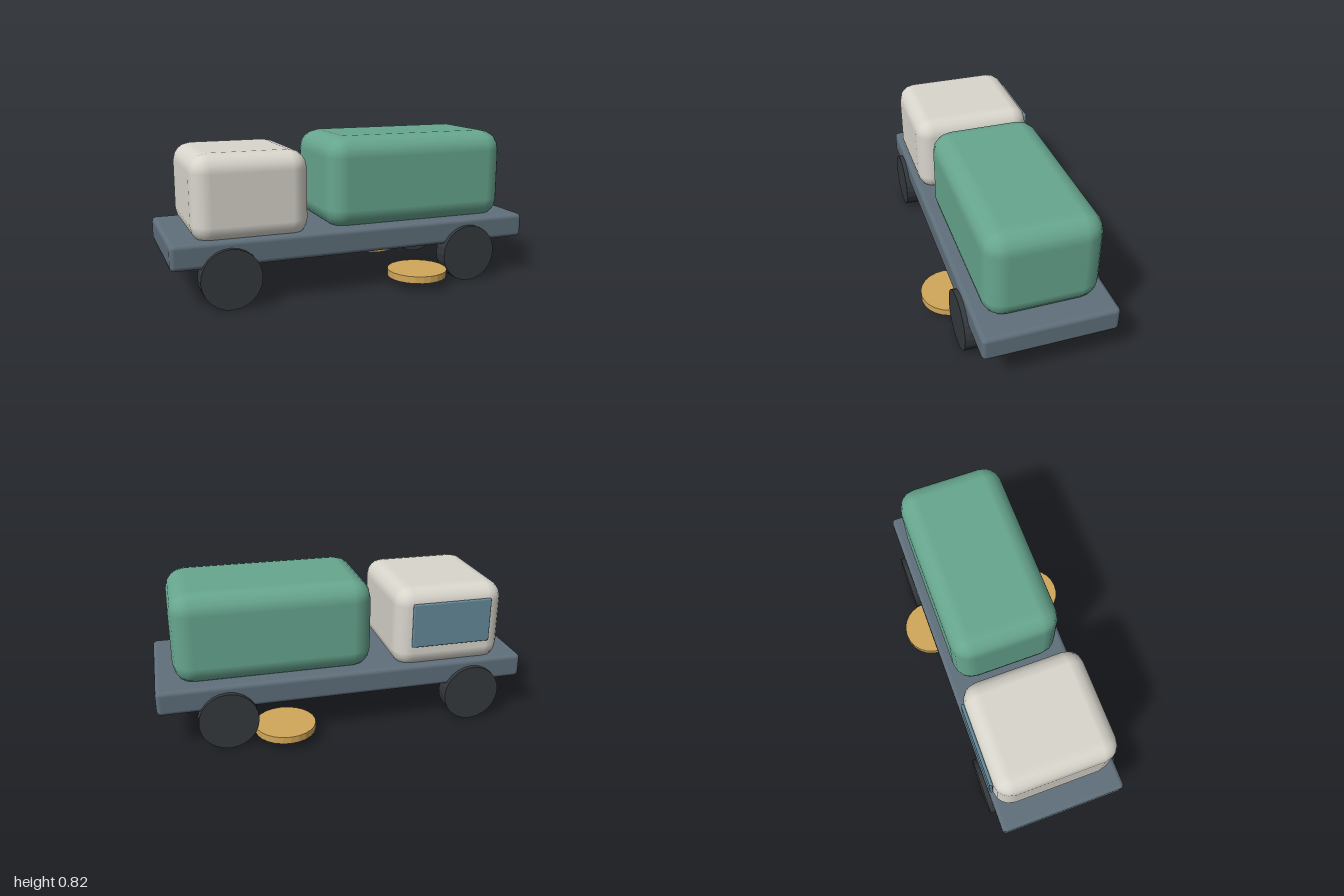
import * as THREE from 'three';
import { RoundedBoxGeometry } from 'three/addons/geometries/RoundedBoxGeometry.js';

const paint = (color, flatShading = false) => new THREE.MeshStandardMaterial({ color, flatShading });

export function createModel() {
  const model = new THREE.Group();
  const steel = paint(0x5f6f7a);
  const cream = paint(0xd9d6cd);
  const green = paint(0x67a68f);
  const glass = paint(0x64899a);
  const rubber = paint(0x34393d, true);
  const gold = paint(0xd1a75a, true);

  const add = (name, geometry, material, x, y, z) => {
    const mesh = new THREE.Mesh(geometry, material);
    mesh.name = name;
    mesh.position.set(x, y, z);
    model.add(mesh);
    return mesh;
  };

  // Rounded box given by its lower and upper corners
  const block = (name, material, [x0, y0, z0], [x1, y1, z1], radius) =>
    add(name, new RoundedBoxGeometry(x1 - x0, y1 - y0, z1 - z0, 2, radius), material,
      (x0 + x1) / 2, (y0 + y1) / 2, (z0 + z1) / 2);

  // Flatbed, cab and cargo body; the bodies sink slightly into the bed
  block('chassis', steel, [-1, 0.215, -0.35], [1, 0.35, 0.35], 0.025);
  block('cab', cream, [-0.88, 0.32, -0.332], [-0.27, 0.775, 0.332], 0.095);
  block('cargoBody', green, [-0.16, 0.325, -0.3], [0.9, 0.825, 0.3], 0.11);

  // Single window on the back side of the cab
  block('cabWindow', glass, [-0.795, 0.455, -0.348], [-0.355, 0.70, -0.33], 0.008);

  // Wheels and low discs, mirrored front to back
  const wheelGeometry = new THREE.CylinderGeometry(0.157, 0.157, 0.09, 24).rotateX(Math.PI / 2);
  const discGeometry = new THREE.CylinderGeometry(0.163, 0.163, 0.038, 24);
  for (const side of [1, -1]) {
    const end = side > 0 ? 'Front' : 'Back';
    add('cabWheel' + end, wheelGeometry, rubber, -0.705, 0.157, side * 0.33);
    add('cargoWheel' + end, wheelGeometry, rubber, 0.64, 0.157, side * 0.33);
    add('groundDisc' + end, discGeometry, gold, 0.34, 0.071, side * 0.328);
  }
  return model;
}
